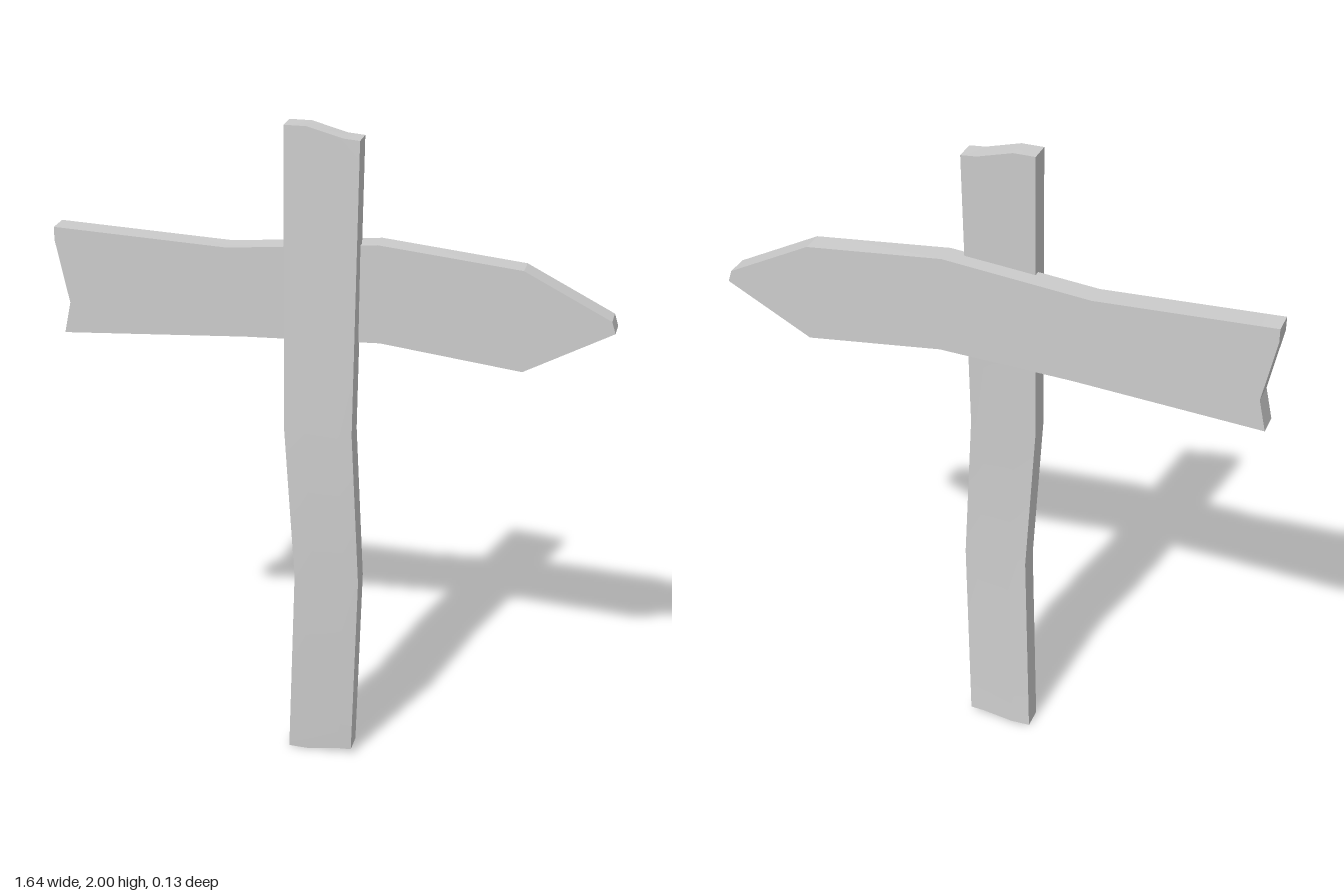
import * as THREE from 'three';
import { toCreasedNormals } from 'three/addons/utils/BufferGeometryUtils.js';

const CREASE = 0.35;
const material = new THREE.MeshStandardMaterial({ color: 0xcccccc });

// Plank whose rows follow a wobbly left edge, right edge and depth
function createPost() {
  const rows = [ // y, left x, right x, centre z
    [2, -0.12, 0.096, 0.005],
    [1.1, -0.119, 0.083, 0.033],
    [0.62, -0.091, 0.105, 0.033],
    [0, -0.12, 0.079, 0.004],
  ];
  const across = [0, 0.3, 0.78, 1];
  const topDrop = [0, 0, -0.028, -0.032];
  const bottomRise = [0.002, 0, 0.014, 0.016];
  const thickness = 0.066;

  const geometry = new THREE.BoxGeometry(3, 3, thickness, 3, 3, 1);
  const p = geometry.attributes.position;
  for (let i = 0; i < p.count; i++) {
    const col = Math.round(p.getX(i) + 1.5);
    const row = Math.round(1.5 - p.getY(i));
    const [y, left, right, z] = rows[row];
    const dy = row === 0 ? topDrop[col] : row === 3 ? bottomRise[col] : 0;
    p.setXYZ(i, THREE.MathUtils.lerp(left, right, across[col]), y + dy, z + p.getZ(i));
  }
  const mesh = new THREE.Mesh(toCreasedNormals(geometry, CREASE), material);
  mesh.name = 'post';
  return mesh;
}

// Pointed board with a notched tail, fixed behind the post
function createArrowBoard() {
  const outline = [
    [-0.823, 1.645], [-0.823, 1.605], [-0.785, 1.415], [-0.806, 1.32],
    [-0.25, 1.355], [0.15, 1.37], [0.562, 1.32],
    [0.817, 1.457], [0.806, 1.492],
    [0.555, 1.62], [0.14, 1.663], [-0.3, 1.622],
  ].map(([x, y]) => new THREE.Vector2(x, y));
  const geometry = new THREE.ExtrudeGeometry(new THREE.Shape(outline), {
    depth: 0.07, bevelEnabled: false,
  });
  geometry.translate(0, 0, -0.067);
  const mesh = new THREE.Mesh(toCreasedNormals(geometry, CREASE), material);
  mesh.name = 'arrowBoard';
  return mesh;
}

export function createModel() {
  const group = new THREE.Group();
  group.name = 'signpost';
  group.add(createPost(), createArrowBoard());
  return group;
}
